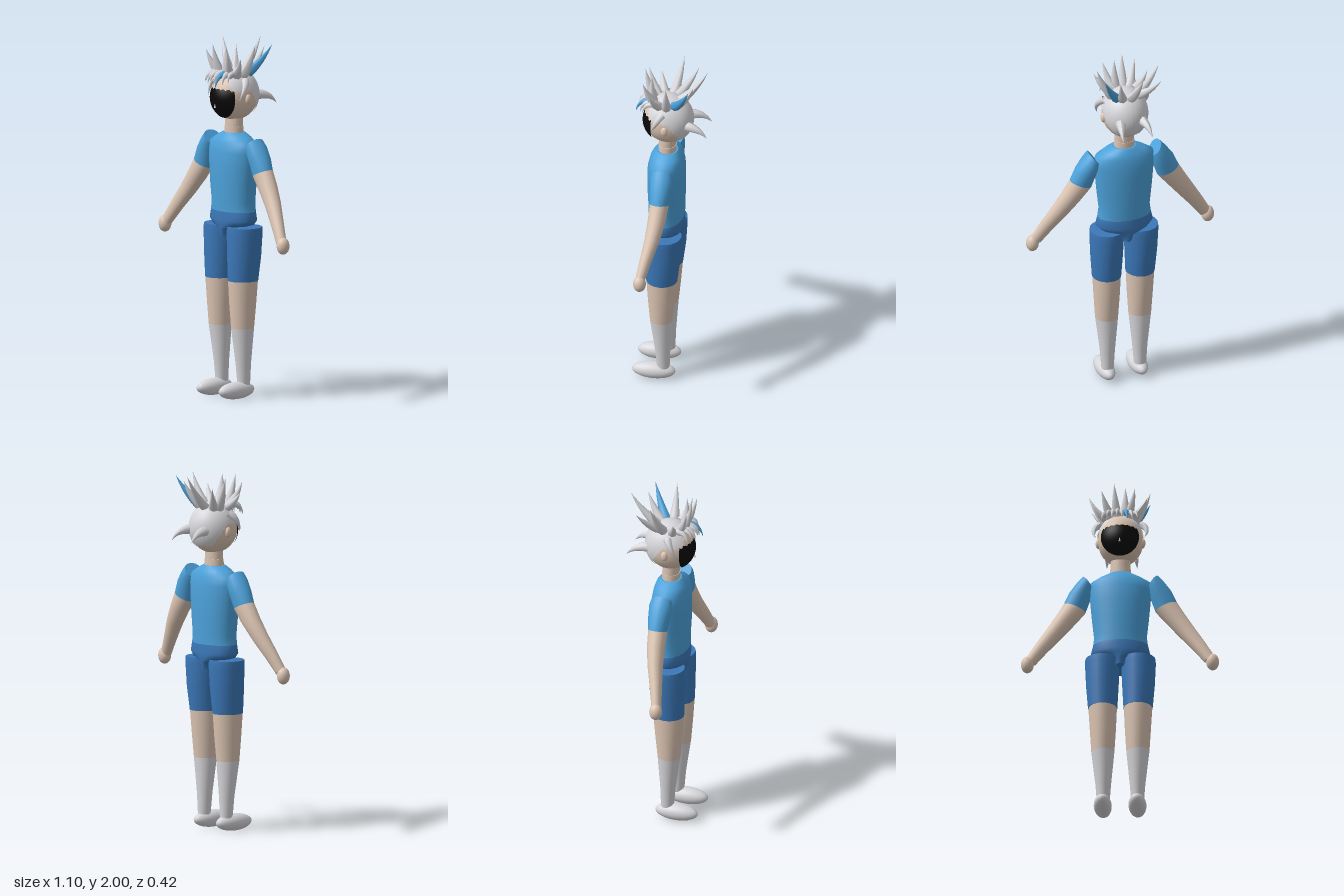
import * as THREE from 'three';

const mat = (name, color, side = THREE.FrontSide) => {
  const m = new THREE.MeshStandardMaterial({ color, side });
  m.name = name;
  return m;
};

// Smooth skin over elliptical rings listed bottom to top: [x, y, z, rx, rz, tilt]; flat end caps
function loft(rings, s = 1, seg = 20) {
  const pos = [], idx = [];
  const addRing = ([x, y, z, rx, rz, t = 0]) => {
    for (let j = 0; j < seg; j++) {
      const a = (j / seg) * Math.PI * 2;
      pos.push(s * x + rx * Math.cos(a) * Math.cos(t), y + rx * Math.cos(a) * Math.sin(s * t), z + rz * Math.sin(a));
    }
  };
  rings.forEach(addRing);
  for (let i = 0; i < rings.length - 1; i++) {
    for (let j = 0; j < seg; j++) {
      const a = i * seg + j, b = i * seg + (j + 1) % seg;
      idx.push(a, a + seg, b, b, a + seg, b + seg);
    }
  }
  [rings[0], rings[rings.length - 1]].forEach((r, end) => {
    const start = pos.length / 3;
    addRing(r);
    pos.push(s * r[0], r[1], r[2]);
    for (let j = 0; j < seg; j++) {
      const a = start + j, b = start + (j + 1) % seg;
      if (end) idx.push(start + seg, b, a); else idx.push(start + seg, a, b);
    }
  });
  const g = new THREE.BufferGeometry();
  g.setAttribute('position', new THREE.Float32BufferAttribute(pos, 3));
  g.setIndex(idx);
  g.computeVertexNormals();
  return g;
}

// Curved pointed lock of hair from base to tip
function spike(base, tip, r, bend = [0, 0, 0]) {
  const a = new THREE.Vector3(...base), b = new THREE.Vector3(...tip);
  const mid = a.clone().lerp(b, 0.5).add(new THREE.Vector3(...bend));
  const curve = new THREE.QuadraticBezierCurve3(a, mid, b);
  const n = 8, seg = 8;
  const g = new THREE.TubeGeometry(curve, n, r, seg);
  const p = g.attributes.position, v = new THREE.Vector3();
  for (let i = 0; i <= n; i++) {
    const c = curve.getPointAt(i / n), k = Math.max(0.01, 1 - Math.pow(i / n, 1.3));
    for (let j = 0; j <= seg; j++) {
      const q = i * (seg + 1) + j;
      v.fromBufferAttribute(p, q).sub(c).multiplyScalar(k).add(c);
      p.setXYZ(q, v.x, v.y, v.z);
    }
  }
  g.computeVertexNormals();
  return g;
}

// Scalp shell whose lower edge follows the hairline: low at the nape, high at the brow
function scalpGeometry() {
  const g = new THREE.SphereGeometry(1, 48, 16), p = g.attributes.position, uv = g.attributes.uv;
  const line = [[0, 1.595], [0.85, 1.595], [1.5, 1.72], [2.3, 1.725], [2.65, 1.79], [3.2, 1.8]];
  for (let i = 0; i < p.count; i++) {
    const az = uv.getX(i) * Math.PI * 2;
    const fromBack = Math.abs(az > Math.PI ? az - Math.PI * 2 : az);
    let k = 0;
    while (k < line.length - 2 && fromBack > line[k + 1][0]) k++;
    const f = (fromBack - line[k][0]) / (line[k + 1][0] - line[k][0]);
    const edge = THREE.MathUtils.lerp(line[k][1], line[k + 1][1], f);
    const th = (1 - uv.getY(i)) * Math.acos((edge - 1.695) / 0.148);
    p.setXYZ(i, 0.131 * Math.sin(th) * Math.sin(az), 1.695 + 0.148 * Math.cos(th), 0.022 - 0.143 * Math.sin(th) * Math.cos(az));
  }
  g.computeVertexNormals();
  return g;
}

export function createModel() {
  const model = new THREE.Group();
  model.name = 'figure';
  const skin = mat('skin', 0xdcc5b3), shirt = mat('shirt blue', 0x4ca2db), shorts = mat('shorts blue', 0x3b78b9);
  const white = mat('white', 0xd6d6da), black = mat('face black', 0x080808);
  const hair = mat('hair', 0xd6d6da, THREE.DoubleSide);
  const add = (name, geo, m, parent = model) => {
    const mesh = new THREE.Mesh(geo, m);
    mesh.name = name;
    parent.add(mesh);
    return mesh;
  };
  const ball = (name, m, c, r, parent) => {
    const b = add(name, new THREE.SphereGeometry(1, 24, 16), m, parent);
    b.position.set(...c);
    b.scale.set(...r);
    return b;
  };

  // Trunk
  add('shirtBody', loft([
    [0, 1.05, 0.03, 0.153, 0.099], [0, 1.1, 0.03, 0.146, 0.1], [0, 1.2, 0.031, 0.157, 0.104], [0, 1.3, 0.031, 0.166, 0.105],
    [0, 1.38, 0.031, 0.172, 0.103], [0, 1.43, 0.03, 0.168, 0.092], [0, 1.46, 0.028, 0.12, 0.08], [0, 1.485, 0.027, 0.068, 0.06],
  ], 1, 28), shirt);
  add('pelvis', loft([
    [0, 0.91, 0.03, 0.034, 0.088], [0, 0.95, 0.03, 0.05, 0.096], [0, 0.975, 0.03, 0.14, 0.099],
    [0, 1.0, 0.03, 0.165, 0.102], [0, 1.05, 0.03, 0.153, 0.099],
  ], 1, 28), shorts);
  add('neckBase', loft([[0, 1.46, 0.027, 0.06, 0.05], [0, 1.52, 0.027, 0.058, 0.05]]), skin);
  add('neck', loft([[0, 1.51, 0.027, 0.055, 0.047], [0, 1.6, 0.025, 0.054, 0.047]]), skin);

  // Limbs, mirrored
  for (const s of [1, -1]) {
    const side = s > 0 ? 'left' : 'right';
    const arm = new THREE.Group(), leg = new THREE.Group();
    arm.name = side + 'Arm';
    leg.name = side + 'Leg';
    model.add(arm, leg);
    add('sleeve', loft([
      [0.255, 1.283, 0.03, 0.066, 0.053, 0.4], [0.23, 1.345, 0.028, 0.064, 0.06, 0.55],
      [0.2, 1.4, 0.028, 0.056, 0.065, 0.75], [0.182, 1.435, 0.03, 0.046, 0.058, 0.9],
    ], s), shirt, arm);
    add('forearm', loft([
      [0.495, 0.935, 0.096, 0.033, 0.028, 0.6], [0.44, 1.02, 0.076, 0.04, 0.034, 0.6], [0.37, 1.12, 0.05, 0.049, 0.043, 0.55],
      [0.31, 1.205, 0.036, 0.057, 0.05, 0.48], [0.255, 1.283, 0.03, 0.066, 0.053, 0.4],
    ], s), skin, arm);
    ball('hand', skin, [s * 0.513, 0.915, 0.098], [0.036, 0.048, 0.036], arm);

    add('shortsLeg', loft([
      [0.098, 0.665, 0.043, 0.081, 0.087], [0.1, 0.8, 0.036, 0.09, 0.097],
      [0.1, 0.93, 0.033, 0.096, 0.102], [0.1, 0.965, 0.033, 0.095, 0.1],
    ], s), shorts, leg);
    add('shin', loft([[0.097, 0.4, 0.045, 0.064, 0.064], [0.097, 0.53, 0.044, 0.072, 0.076], [0.098, 0.665, 0.043, 0.079, 0.086]], s), skin, leg);
    add('sock', loft([[0.095, 0.08, 0.035, 0.034, 0.036], [0.095, 0.2, 0.038, 0.043, 0.043], [0.097, 0.4, 0.045, 0.064, 0.064]], s), white, leg);
    ball('shoe', white, [s * 0.096, 0.052, 0.088], [0.05, 0.048, 0.122], leg);
  }

  // Head
  const head = new THREE.Group();
  head.name = 'head';
  model.add(head);
  ball('skull', skin, [0, 1.693, 0.023], [0.126, 0.14, 0.138], head);
  const face = add('facePanel', new THREE.SphereGeometry(1, 32, 12, 0, Math.PI * 2, 0, 0.96).rotateX(Math.PI / 2), black, head);
  face.position.set(0, 1.682, 0.023);
  face.scale.set(0.129, 0.136, 0.142);
  const nose = add('nose', new THREE.ConeGeometry(0.006, 0.025, 8), skin, head);
  nose.position.set(0, 1.645, 0.163);
  for (const s of [1, -1]) ball('ear', skin, [s * 0.123, 1.68, 0.025], [0.015, 0.029, 0.02], head);

  // Hair
  const locks = new THREE.Group();
  locks.name = 'hair';
  head.add(locks);
  add('scalp', scalpGeometry(), hair, locks);
  // crown locks: tip x, y, z, and whether blue
  const crown = [
    [-0.035, 2.0, -0.195], [0.16, 1.98, -0.115, 1], [-0.165, 1.94, -0.125], [-0.178, 1.995, -0.04], [0.165, 1.99, 0.01],
    [-0.155, 1.9, 0.085], [0.152, 1.92, 0.105], [-0.1, 1.95, 0.145], [0.085, 1.96, 0.15], [-0.03, 1.985, 0.155],
    [0.03, 1.98, 0.11], [0.075, 1.96, -0.13],
  ];
  for (const [x, y, z, blue] of crown) {
    const d = new THREE.Vector2(x, z - 0.03), k = 0.075 / d.length();
    add('crownLock', spike([d.x * k, 1.81, 0.03 + d.y * k], [x, y, z], 0.028, [d.x * 0.08, -0.012, d.y * 0.08]), blue ? shirt : hair, locks);
  }
  // fringe hanging over the brow
  for (let i = 0; i < 8; i++) {
    const x = -0.091 + i * 0.026, blue = i === 5;
    const z = 0.185 - x * x * 4;
    add('fringeLock', spike([x * 0.85, 1.825, z - 0.07], [x * 1.1, blue ? 1.75 : 1.765 + (i % 2) * 0.012, z + (blue ? 0.018 : 0)], 0.019, [0, 0.035, 0.03]), blue ? shirt : hair, locks);
  }
  // temple and nape locks
  for (const s of [1, -1]) {
    add('templeLock', spike([s * 0.115, 1.785, 0.04], [s * 0.135, 1.68, 0.1], 0.022, [s * 0.04, 0.02, 0]), hair, locks);
    add('napeLock', spike([s * 0.06, 1.69, -0.085], [s * 0.084, 1.635, -0.208], 0.03, [s * 0.01, 0.03, -0.02]), hair, locks);
  }
  return model;
}
